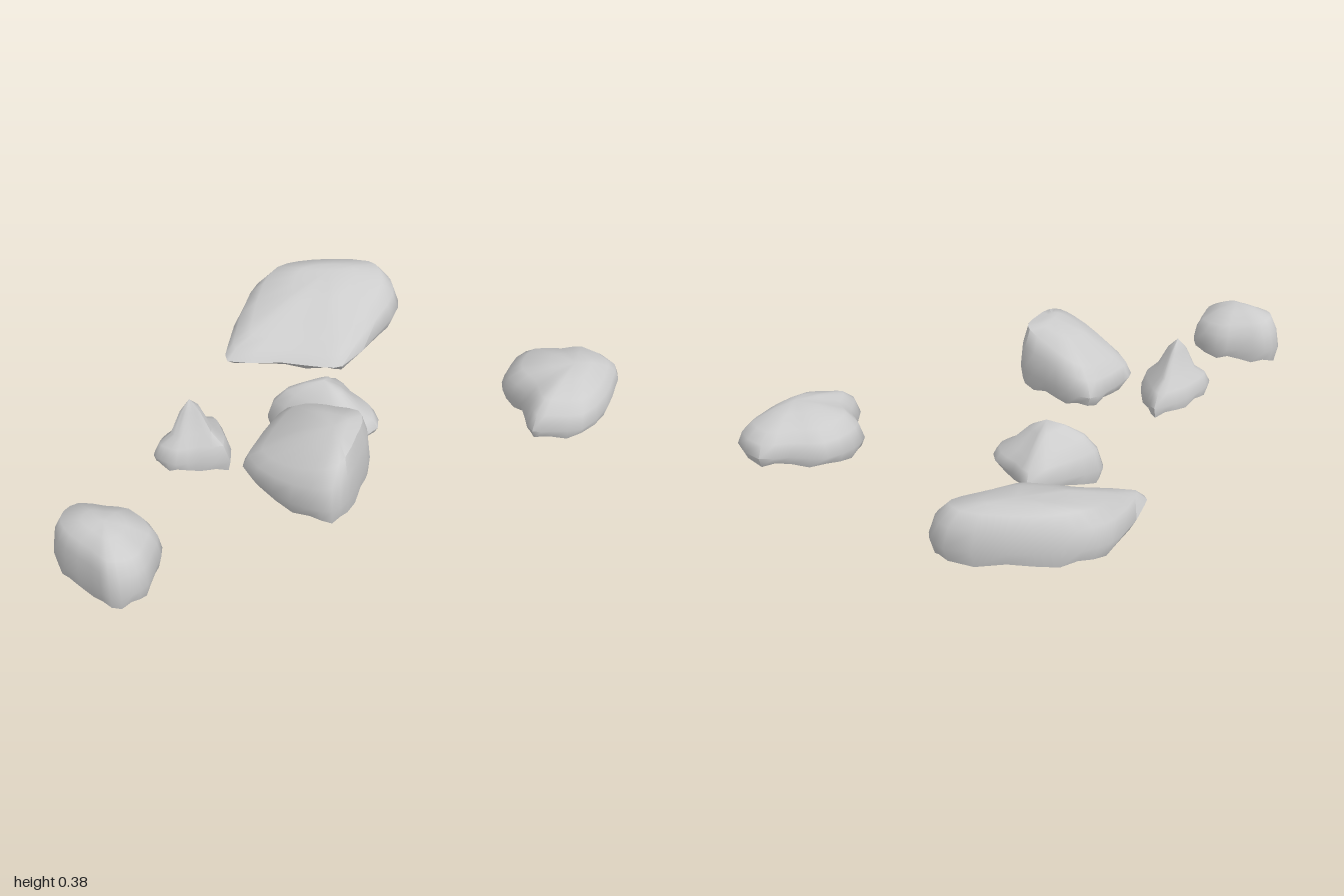
import * as THREE from 'three';
import { toCreasedNormals } from 'three/addons/utils/BufferGeometryUtils.js';

// outline: [x, z] corners seen from above, clockwise; crown: highest point [x, y, z]
// base and shoulder: height under the crown with slopes in x and z; spread: width of the crown plateau
function rockGeometry({ outline, crown, base, shoulder, spread }) {
  const [cx, cy, cz] = crown;
  const curve = new THREE.CatmullRomCurve3(outline.map(([x, z]) => new THREE.Vector3(x, 0, z)), true);
  const n = outline.length * 2;
  const tilted = ([y, sx, sz], p) => y + sx * (p.x - cx) + sz * (p.z - cz);
  const hollowTop = base[0] + (cy - base[0]) * 0.5;

  // Rings as [scale, height] from the hollow underside up to the crown
  const rings = (low, h, i) => [
    [0.5, low + (hollowTop - low) * 0.85],
    [0.82, low + (hollowTop - low) * 0.4],
    [0.94, low + 0.008 * Math.sin(i * 2.1)],
    [1, low + (h - low) * 0.28],
    [0.4 + 0.6 * Math.sqrt(spread), low + (h - low) * 0.7],
    [spread, h],
    [spread * 0.5, h + (cy - h) * 0.65],
  ];
  const count = 7;
  const positions = new Array(count * n * 3);
  for (let i = 0; i < n; i++) {
    const p = curve.getPoint(i / n);
    const h = Math.min(tilted(shoulder, p), cy - 0.01);
    rings(tilted(base, p), h, i).forEach(([scale, y], r) => {
      const k = (r * n + i) * 3;
      positions[k] = cx + (p.x - cx) * scale;
      positions[k + 1] = Math.max(y, 0);
      positions[k + 2] = cz + (p.z - cz) * scale;
    });
  }
  positions.push(cx, hollowTop, cz, cx, cy, cz);

  const index = [];
  const bottom = count * n;
  const top = (count - 1) * n;
  for (let i = 0; i < n; i++) {
    const j = (i + 1) % n;
    for (let r = 0; r < top; r += n) {
      index.push(r + i, r + n + i, r + j, r + j, r + n + i, r + n + j);
    }
    index.push(bottom, i, j, top + i, bottom + 1, top + j);
  }
  const geometry = new THREE.BufferGeometry();
  geometry.setAttribute('position', new THREE.Float32BufferAttribute(positions, 3));
  geometry.setIndex(index);
  return toCreasedNormals(geometry, 1.1);
}

export function createModel() {
  const group = new THREE.Group();
  group.name = 'rocks';
  const stone = new THREE.MeshStandardMaterial({ color: 0xcccccc });
  stone.name = 'light grey stone';

  const addRock = (name, shape) => {
    const mesh = new THREE.Mesh(rockGeometry(shape), stone);
    mesh.name = name;
    group.add(mesh);
  };

  addRock('largeBackRock', {
    outline: [[-0.25, -0.41], [-0.23, -0.49], [-0.11, -0.71], [-0.02, -0.79], [0.09, -0.81], [0.25, -0.785],
      [0.42, -0.71], [0.45, -0.63], [0.43, -0.54], [0.33, -0.43], [0.13, -0.27], [0.07, -0.28], [-0.07, -0.35]],
    crown: [0.2, 0.25, -0.66], base: [0.085, 0, -0.05], shoulder: [0.225, 0.06, -0.2], spread: 0.76,
  });
  addRock('middleRock', {
    outline: [[-0.19, -0.09], [-0.17, -0.125], [-0.05, -0.18], [0.09, -0.21], [0.12, -0.11],
      [0.16, -0.01], [0.14, 0.09], [0.07, 0.115], [0, 0.09], [-0.11, 0]],
    crown: [-0.01, 0.21, -0.03], base: [0.03, 0.1, 0], shoulder: [0.14, -0.15, 0], spread: 0.66,
  });
  addRock('smallPeakedRock', {
    outline: [[-0.635, 0.21], [-0.61, 0.165], [-0.56, 0.12], [-0.48, 0.075], [-0.4, 0.065],
      [-0.39, 0.13], [-0.41, 0.285], [-0.5, 0.27], [-0.58, 0.275], [-0.62, 0.24]],
    crown: [-0.51, 0.38, 0.19], base: [0.165, -0.15, 0], shoulder: [0.27, 0, 0.1], spread: 0.53,
  });
  addRock('frontRock', {
    outline: [[-0.385, 0.34], [-0.34, 0.27], [-0.26, 0.18], [-0.19, 0.13], [-0.12, 0.18], [-0.06, 0.27],
      [0, 0.37], [-0.01, 0.45], [-0.06, 0.53], [-0.14, 0.64], [-0.2, 0.67], [-0.26, 0.63], [-0.34, 0.51]],
    crown: [-0.13, 0.385, 0.46], base: [0.18, 0, 0.03], shoulder: [0.35, 0.25, 0.12], spread: 0.78,
  });
  addRock('rightRock', {
    outline: [[0.58, 0.35], [0.585, 0.28], [0.6, 0.2], [0.58, 0.1], [0.62, 0.02], [0.71, -0.05],
      [0.83, -0.025], [0.93, -0.02], [0.995, 0.12], [0.95, 0.2], [0.87, 0.3], [0.74, 0.39], [0.64, 0.37]],
    crown: [0.8, 0.255, 0.18], base: [0.11, 0.03, 0], shoulder: [0.215, -0.04, 0], spread: 0.74,
  });
  addRock('leftRock', {
    outline: [[-1, 0.56], [-0.98, 0.5], [-0.92, 0.46], [-0.83, 0.49], [-0.75, 0.52], [-0.7, 0.64],
      [-0.73, 0.71], [-0.77, 0.78], [-0.82, 0.805], [-0.88, 0.8], [-0.92, 0.73], [-0.98, 0.635]],
    crown: [-0.86, 0.335, 0.64], base: [0.155, 0.08, -0.05], shoulder: [0.295, -0.1, 0], spread: 0.8,
  });
  return group;
}
